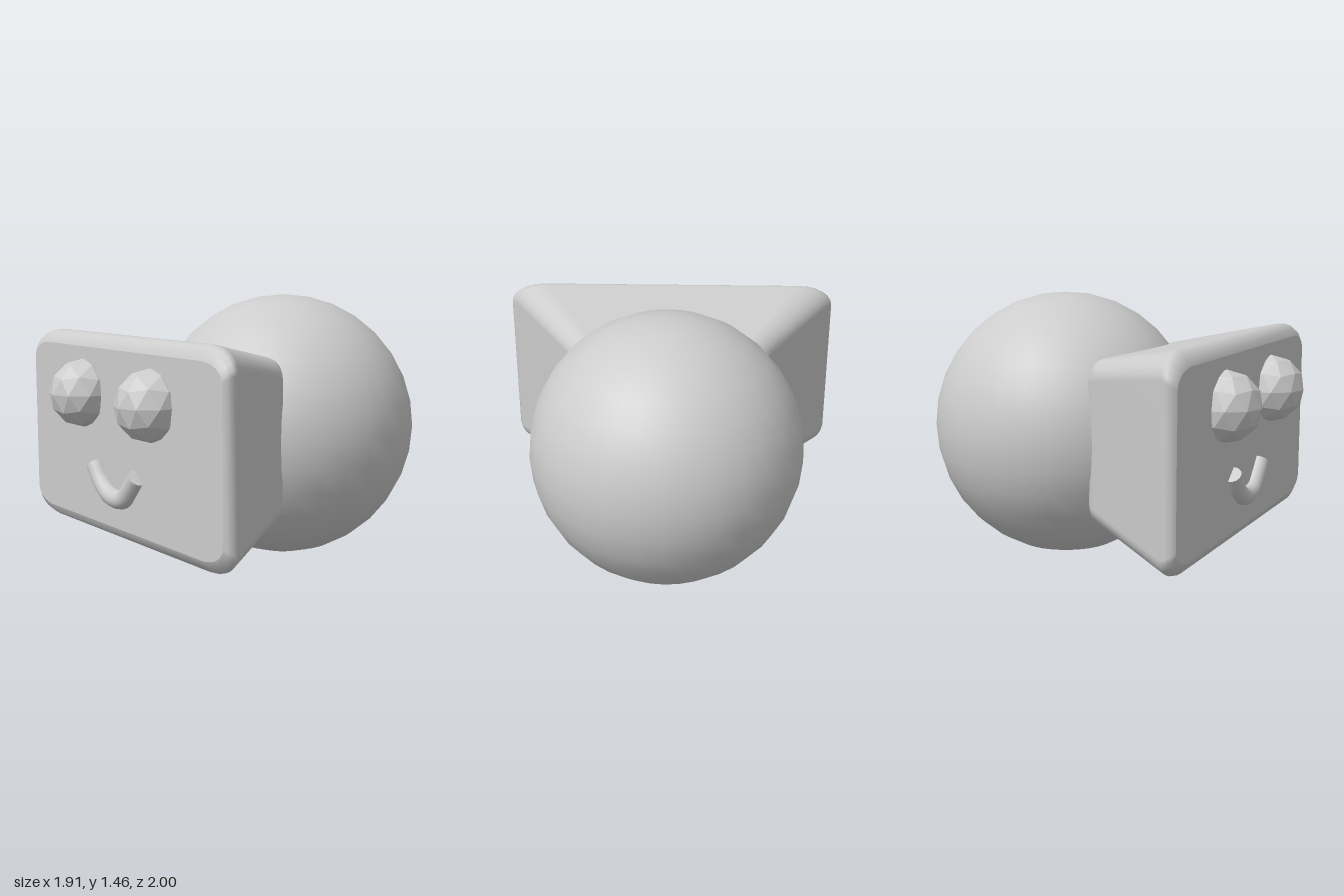
import * as THREE from 'three';

const MID_Y = 0.735;

// Rounded rectangle outline, counter-clockwise seen from the front
function roundedOutline(hw, hh, rx, ry, steps = 6) {
  const points = [];
  for (let corner = 0; corner < 4; corner++) {
    const sx = corner === 0 || corner === 3 ? 1 : -1;
    const sy = corner < 2 ? 1 : -1;
    for (let i = 0; i <= steps; i++) {
      const a = (corner + i / steps) * Math.PI / 2;
      points.push([sx * (hw - rx) + rx * Math.cos(a), sy * (hh - ry) + ry * Math.sin(a)]);
    }
  }
  return points;
}

// Skin cross-sections from front to back; the caps keep their own flat normals
function loftHead(sections) {
  const positions = [], indices = [];
  const loops = sections.map(([z, hw, hh, rx, ry]) =>
    roundedOutline(hw, hh, rx, ry).map(([x, y]) => [x, y, z]));
  const n = loops[0].length;
  loops.forEach(loop => loop.forEach(p => positions.push(...p)));
  for (let s = 0; s < loops.length - 1; s++) {
    for (let i = 0; i < n; i++) {
      const j = (i + 1) % n;
      const a = s * n + i, b = s * n + j, c = a + n, d = b + n;
      indices.push(a, c, b, b, c, d);
    }
  }
  for (const front of [true, false]) {
    const loop = front ? loops[0] : loops[loops.length - 1];
    const centre = positions.length / 3;
    positions.push(0, 0, loop[0][2]);
    loop.forEach(p => positions.push(...p));
    for (let i = 0; i < n; i++) {
      const a = centre + 1 + i, b = centre + 1 + (i + 1) % n;
      indices.push(centre, front ? a : b, front ? b : a);
    }
  }
  const geometry = new THREE.BufferGeometry();
  geometry.setAttribute('position', new THREE.Float32BufferAttribute(positions, 3));
  geometry.setIndex(indices);
  geometry.computeVertexNormals();
  return geometry;
}

export function createModel() {
  const model = new THREE.Group();
  model.name = 'character';

  const grey = new THREE.MeshStandardMaterial({ color: 0xcccccc });
  grey.name = 'light grey';

  const add = (name, geometry, x, y, z) => {
    const mesh = new THREE.Mesh(geometry, grey);
    mesh.name = name;
    mesh.position.set(x, y, z);
    model.add(mesh);
    return mesh;
  };

  // Round body behind the head
  add('body', new THREE.SphereGeometry(0.73, 32, 16), 0, MID_Y, -0.27);

  // Head tapering backwards into the body: z, half width, half height, corner radii
  add('head', loftHead([
    [0.81, 0.925, 0.465, 0.17, 0.09],
    [0.795, 0.945, 0.5, 0.19, 0.11],
    [0.765, 0.956, 0.525, 0.2, 0.12],
    [0.74, 0.945, 0.534, 0.2, 0.12],
    [0.715, 0.922, 0.535, 0.2, 0.12],
    [0.2, 0.57, 0.432, 0.12, 0.1],
    [0.165, 0.545, 0.42, 0.11, 0.1],
    [0.145, 0.515, 0.395, 0.1, 0.09],
    [0.14, 0.48, 0.36, 0.08, 0.07],
  ]), 0, MID_Y, 0);

  // Faceted eyes with a vertex pointing up
  const eyeGeometry = new THREE.IcosahedronGeometry(0.183, 1);
  eyeGeometry.rotateZ(-Math.atan(2 / (1 + Math.sqrt(5))));
  eyeGeometry.computeVertexNormals();
  add('leftEye', eyeGeometry, 0.34, 0.953, 0.82);
  add('rightEye', eyeGeometry, -0.34, 0.953, 0.82);

  // Smiling mouth, a bent tube half sunk into the face
  const smile = new THREE.CatmullRomCurve3([
    [-0.23, 0.585], [-0.165, 0.5], [-0.085, 0.445], [0, 0.43],
    [0.075, 0.448], [0.135, 0.505], [0.198, 0.575],
  ].map(([x, y]) => new THREE.Vector3(x, y, 0)));
  const mouthRadius = 0.05;
  add('mouth', new THREE.TubeGeometry(smile, 24, mouthRadius, 16), 0, 0, 0.815);
  for (const t of [0, 1]) {
    const p = smile.getPointAt(t);
    const outward = smile.getTangentAt(t).multiplyScalar(t ? 1 : -1);
    const cap = add('mouthEnd', new THREE.CircleGeometry(mouthRadius, 16), p.x, p.y, 0.815);
    cap.quaternion.setFromUnitVectors(new THREE.Vector3(0, 0, 1), outward);
  }

  return model;
}
